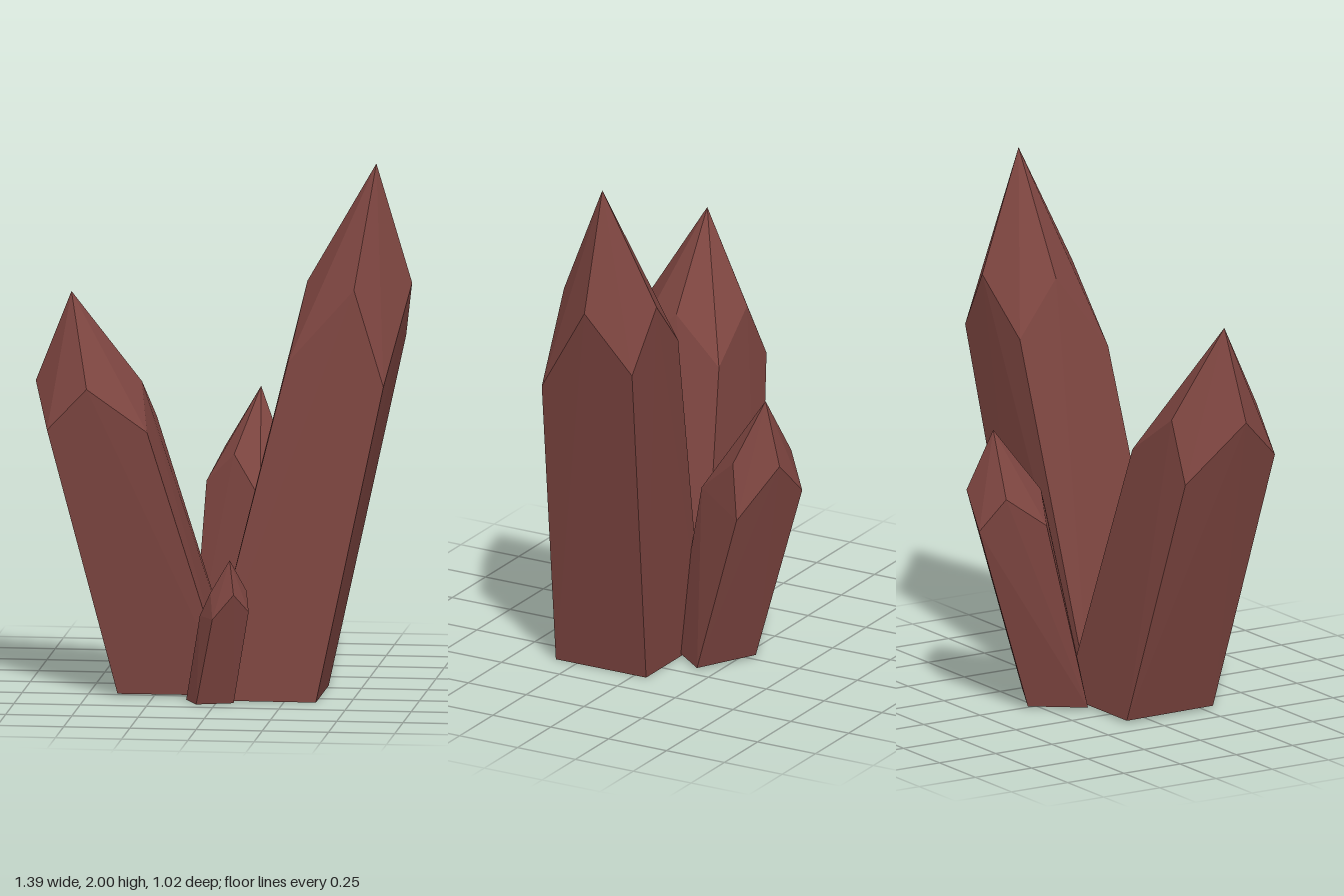
import * as THREE from 'three';
import { ConvexGeometry } from 'three/addons/geometries/ConvexGeometry.js';

const material = new THREE.MeshStandardMaterial({ color: 0x7d4540, flatShading: true });

// A four-sided crystal: base and corner rings are the ends of the long edges,
// shoulders are where the tip's ridges meet the side faces.
function crystal(name, { tip, shoulders, corners, base }) {
  const points = [tip, ...shoulders, ...corners, ...base].map((p) => new THREE.Vector3(...p));
  const mesh = new THREE.Mesh(new ConvexGeometry(points), material);
  mesh.name = name;
  return mesh;
}

export function createModel() {
  const group = new THREE.Group();
  group.name = 'crystalCluster';

  // Tallest crystal, leaning to +x
  group.add(crystal('tallCrystal', {
    tip: [0.56, 2.0, 0.03],
    shoulders: [[0.3, 1.55, 0.03], [0.5, 1.55, 0.23], [0.695, 1.55, 0.03], [0.5, 1.55, -0.17]],
    corners: [[0.25, 1.27, 0.23], [0.615, 1.19, 0.26], [0.65, 1.32, -0.15], [0.285, 1.34, -0.14]],
    base: [[-0.06, 0, 0.34], [0.37, 0, 0.34], [0.37, 0, -0.05], [-0.06, 0, -0.05]],
  }));

  // Second crystal, leaning to -x
  group.add(crystal('leaningCrystal', {
    tip: [-0.567, 1.525, 0.224],
    shoulders: [[-0.7, 1.185, 0.236], [-0.486, 1.185, 0.42], [-0.303, 1.185, 0.206], [-0.516, 1.185, 0.022]],
    corners: [[-0.637, 1.025, 0.404], [-0.262, 1.02, 0.385], [-0.272, 1.02, 0.004], [-0.635, 0.96, 0.007]],
    base: [[-0.385, 0.01, 0.29], [0.04, 0.01, 0.28], [0.03, 0.01, -0.1], [-0.396, 0.01, -0.1]],
  }));

  // Medium crystal, leaning to the back
  group.add(crystal('backCrystal', {
    tip: [0.072, 1.075, -0.395],
    shoulders: [[-0.067, 0.84, -0.426], [-0.01, 0.84, -0.235], [0.17, 0.84, -0.31], [0.12, 0.845, -0.483]],
    corners: [[-0.12, 0.73, -0.28], [0.1, 0.69, -0.135], [0.23, 0.64, -0.36], [-0.007, 0.714, -0.508]],
    base: [[-0.157, 0.01, -0.12], [0.07, 0.01, 0], [0.21, 0.01, -0.178], [-0.02, 0.01, -0.3]],
  }));

  // Small crystal at the front
  group.add(crystal('frontCrystal', {
    tip: [0.06, 0.555, 0.463],
    shoulders: [[-0.013, 0.43, 0.46], [0.08, 0.43, 0.508], [0.116, 0.43, 0.4], [0.02, 0.43, 0.36]],
    corners: [[-0.058, 0.335, 0.42], [0, 0.335, 0.508], [0.132, 0.36, 0.465], [0.075, 0.37, 0.34]],
    base: [[-0.12, 0, 0.335], [-0.07, 0, 0.436], [0.066, 0, 0.39], [0.01, 0, 0.28]],
  }));

  return group;
}
